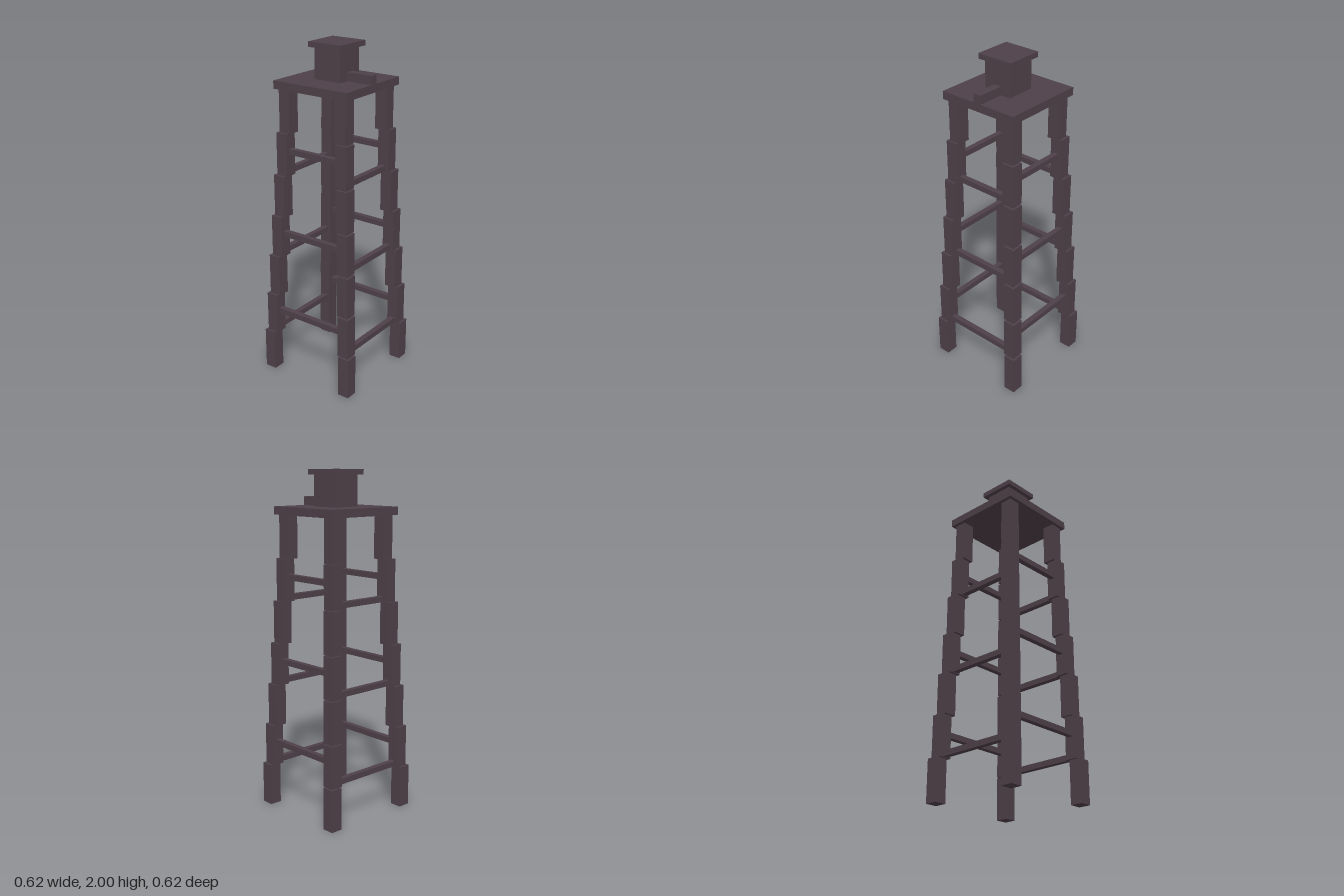
import * as THREE from 'three';

export function createModel() {
  const model = new THREE.Group();
  model.name = 'tower';
  const timber = new THREE.MeshStandardMaterial({ color: 0x4e4048 });
  timber.name = 'dark timber';

  const box = (parent, name, w, h, d, x, y, z) => {
    const mesh = new THREE.Mesh(new THREE.BoxGeometry(w, h, d), timber);
    mesh.name = name;
    mesh.position.set(x, y, z);
    parent.add(mesh);
  };

  const SEGMENTS = 7, SEG_H = 0.2494, LEG_W = 0.073, BAR = 0.033;
  const legOffset = (i) => 0.2755 - i * 0.0139; // legs step inwards as they rise

  // Four stepped legs
  for (const sx of [-1, 1]) for (const sz of [-1, 1]) {
    const leg = new THREE.Group();
    leg.name = (sz > 0 ? 'front' : 'back') + (sx > 0 ? 'Left' : 'Right') + 'Leg';
    for (let i = 0; i < SEGMENTS; i++) {
      const c = legOffset(i);
      box(leg, 'legSegment', LEG_W, SEG_H, LEG_W, sx * c, (i + 0.5) * SEG_H, sz * c);
    }
    model.add(leg);
  }

  // Cross bars: front and back sit lower, the sides sit higher
  for (const i of [1, 3, 5]) {
    const c = legOffset(i);
    const span = 2 * c - LEG_W;
    for (const s of [-1, 1]) {
      box(model, s > 0 ? 'frontBar' : 'backBar', span, BAR, BAR, 0, i * SEG_H + 0.02, s * c);
      box(model, s > 0 ? 'leftBar' : 'rightBar', BAR, BAR, span, s * c, i * SEG_H + 0.144, 0);
    }
  }

  // Platform, cabin with lid, and the beam running out to the front edge
  box(model, 'platform', 0.498, 0.046, 0.498, 0, 1.7688, 0);
  box(model, 'cabin', 0.174, 0.178, 0.174, 0, 1.8808, 0);
  box(model, 'cabinLid', 0.223, 0.0302, 0.223, 0, 1.9849, 0);
  box(model, 'frontBeam', 0.048, 0.05, 0.162, 0, 1.8168, 0.168);

  return model;
}
